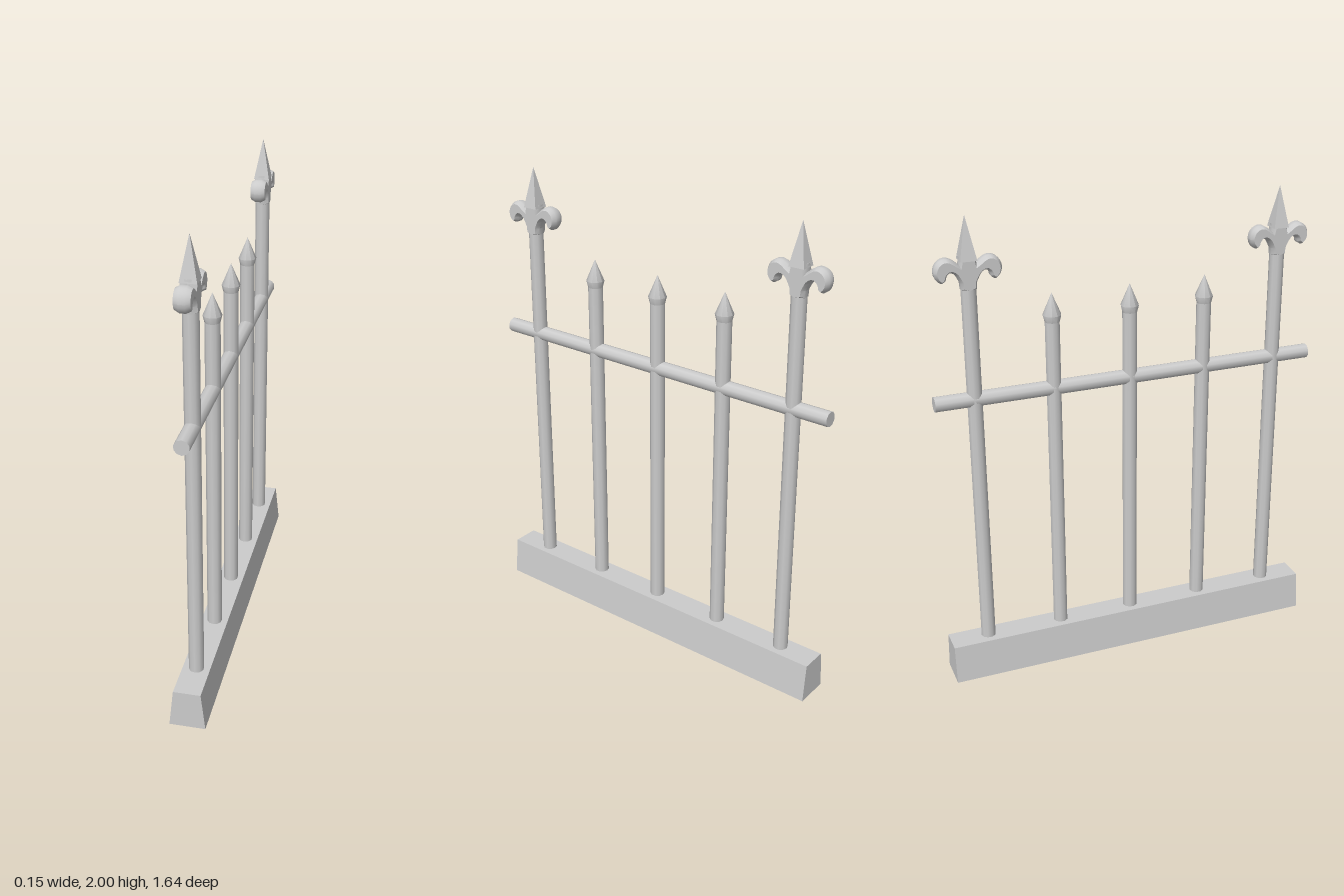
import * as THREE from 'three';
import { toCreasedNormals } from 'three/addons/utils/BufferGeometryUtils.js';

const material = new THREE.MeshStandardMaterial({ color: 0xcccccc });
const openMaterial = new THREE.MeshStandardMaterial({ color: 0xcccccc, side: THREE.DoubleSide });

const SIDES = 10;
const BAR_R = 0.031;
const LENGTH = 1.64;
const BASE_H = 0.165;

function addMesh(parent, name, geometry, mat = material) {
  const mesh = new THREE.Mesh(geometry, mat);
  mesh.name = name;
  parent.add(mesh);
  return mesh;
}

// Tapered plinth, hollow underneath
function plinthGeometry() {
  const geo = new THREE.BoxGeometry(0.148, BASE_H, LENGTH).translate(0, BASE_H / 2, 0);
  const pos = geo.attributes.position;
  for (let i = 0; i < pos.count; i++) {
    if (pos.getY(i) > 0.01) pos.setX(i, pos.getX(i) * 0.76);
  }
  const index = Array.from(geo.index.array);
  index.splice(18, 6); // drop the bottom face
  geo.setIndex(index);
  geo.clearGroups();
  geo.computeVertexNormals();
  return geo;
}

// Scrolled finial, bevelled all round, flat in the plane of the fence
function scrollGeometry() {
  const curl = new THREE.CatmullRomCurve3([
    [0.033, 1.745], [0.052, 1.779], [0.07, 1.788], [0.083, 1.776],
    [0.087, 1.761], [0.105, 1.75], [0.124, 1.766], [0.132, 1.795],
    [0.122, 1.824], [0.1, 1.841], [0.077, 1.843], [0.053, 1.831], [0.034, 1.815],
  ].map(([x, y]) => new THREE.Vector3(x, y, 0)));
  const half = [
    new THREE.Vector2(0.031, 1.717),
    ...curl.getPoints(28).map((p) => new THREE.Vector2(p.x, p.y)),
    new THREE.Vector2(0.031, 1.845),
  ];
  const mirrored = half.map((p) => new THREE.Vector2(-p.x, p.y)).reverse();
  const shape = new THREE.Shape([new THREE.Vector2(0, 1.706), ...half, ...mirrored]);
  const geo = new THREE.ExtrudeGeometry(shape, {
    depth: 0.024,
    bevelEnabled: true,
    bevelThickness: 0.019,
    bevelSize: 0.01,
    bevelOffset: -0.01,
    bevelSegments: 1,
  });
  geo.translate(0, 0, -0.012).rotateY(Math.PI / 2);
  return toCreasedNormals(geo, 0.55);
}

// Four-sided spike on the finial
function spikeGeometry() {
  const geo = new THREE.ConeGeometry(0.033 * Math.SQRT2, 0.17, 4);
  geo.rotateY(Math.PI / 4).translate(0, 1.915, 0);
  return toCreasedNormals(geo, 0.5);
}

// Small pointed cap with a flared collar
function spearGeometry() {
  const profile = [[BAR_R, 1.545], [0.038, 1.573], [0, 1.663]]
    .map(([x, y]) => new THREE.Vector2(x, y));
  return toCreasedNormals(new THREE.LatheGeometry(profile, SIDES), 0.8);
}

function postGeometry(height) {
  return new THREE.CylinderGeometry(BAR_R, BAR_R, height, SIDES).translate(0, height / 2, 0);
}

export function createModel() {
  const fence = new THREE.Group();
  fence.name = 'fence';

  addMesh(fence, 'plinth', plinthGeometry(), openMaterial);

  const rail = new THREE.CylinderGeometry(BAR_R, BAR_R, LENGTH, SIDES);
  rail.rotateX(Math.PI / 2).translate(0, 1.265, 0);
  addMesh(fence, 'rail', rail);

  // Two tall end posts and three short pickets
  for (let i = -2; i <= 2; i++) {
    const tall = Math.abs(i) === 2;
    const post = new THREE.Group();
    post.name = tall ? 'endPost' : 'picket';
    post.position.z = i * 0.328;
    addMesh(post, 'shaft', postGeometry(tall ? 1.73 : 1.55));
    if (tall) {
      addMesh(post, 'scrollFinial', scrollGeometry());
      addMesh(post, 'finialSpike', spikeGeometry());
    } else {
      addMesh(post, 'spearTip', spearGeometry());
    }
    fence.add(post);
  }
  return fence;
}
